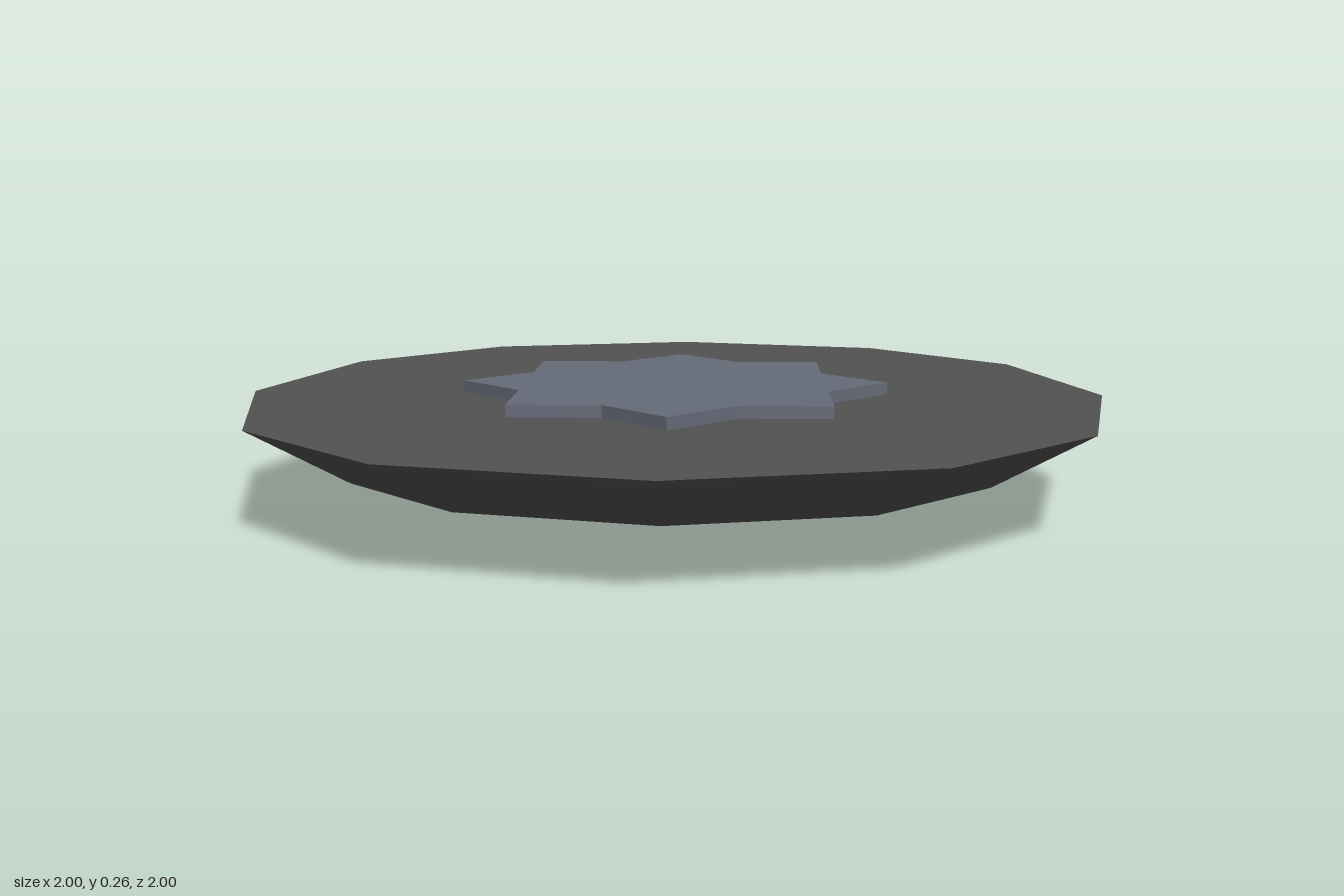
import * as THREE from 'three';

const RIM_Y = 0.235;

// Twelve-sided outline, one quadrant rotated four times
function outline() {
  const pts = [];
  for (let q = 0; q < 4; q++) {
    for (const [x, z] of [[1, 0.24], [0.713, 0.713], [0.24, 1]]) {
      const p = new THREE.Vector2(x, z);
      pts.push(p.rotateAround(new THREE.Vector2(), q * Math.PI / 2));
    }
  }
  return pts;
}

// Rings of [scale, y] joined from the bottom centre upwards
function bowlGeometry(rings) {
  const pts = outline(), n = pts.length;
  const position = [0, rings[0][1], 0], index = [];
  for (const [s, y] of rings) for (const p of pts) position.push(p.x * s, y, p.y * s);
  for (let j = 0; j < n; j++) {
    const k = (j + 1) % n;
    index.push(0, 1 + j, 1 + k);
    for (let r = 0; r < rings.length - 1; r++) {
      const a = 1 + r * n + j, b = 1 + r * n + k;
      index.push(a, a + n, b + n, a, b + n, b);
    }
  }
  const g = new THREE.BufferGeometry();
  g.setAttribute('position', new THREE.Float32BufferAttribute(position, 3));
  g.setIndex(index);
  g.computeVertexNormals();
  return g;
}

export function createModel() {
  const group = new THREE.Group();
  const stone = new THREE.MeshStandardMaterial({ color: 0x525252 });
  stone.name = 'darkGrey';
  const slate = new THREE.MeshStandardMaterial({ color: 0x656b79 });
  slate.name = 'slateBlue';

  const add = (name, geometry, material) => {
    const mesh = new THREE.Mesh(geometry, material);
    mesh.name = name;
    group.add(mesh);
    return mesh;
  };

  // Smooth shallow underside
  add('dishUnderside', bowlGeometry([[0.335, 0], [0.78, 0.1], [1, RIM_Y]]), stone);

  // Flat top face
  const top = new THREE.ShapeGeometry(new THREE.Shape(outline()));
  top.rotateX(-Math.PI / 2);
  add('dishTop', top, stone).position.y = RIM_Y;

  // Raised eight-pointed star
  const star = new THREE.Shape();
  for (let i = 0; i < 16; i++) {
    const r = i % 2 ? 0.384 : 0.503, a = i * Math.PI / 8;
    if (i) star.lineTo(r * Math.cos(a), r * Math.sin(a));
    else star.moveTo(r, 0);
  }
  const plate = new THREE.ExtrudeGeometry(star, { depth: 0.028, bevelEnabled: false });
  plate.rotateX(-Math.PI / 2);
  add('starPlate', plate, slate).position.y = RIM_Y;

  return group;
}
